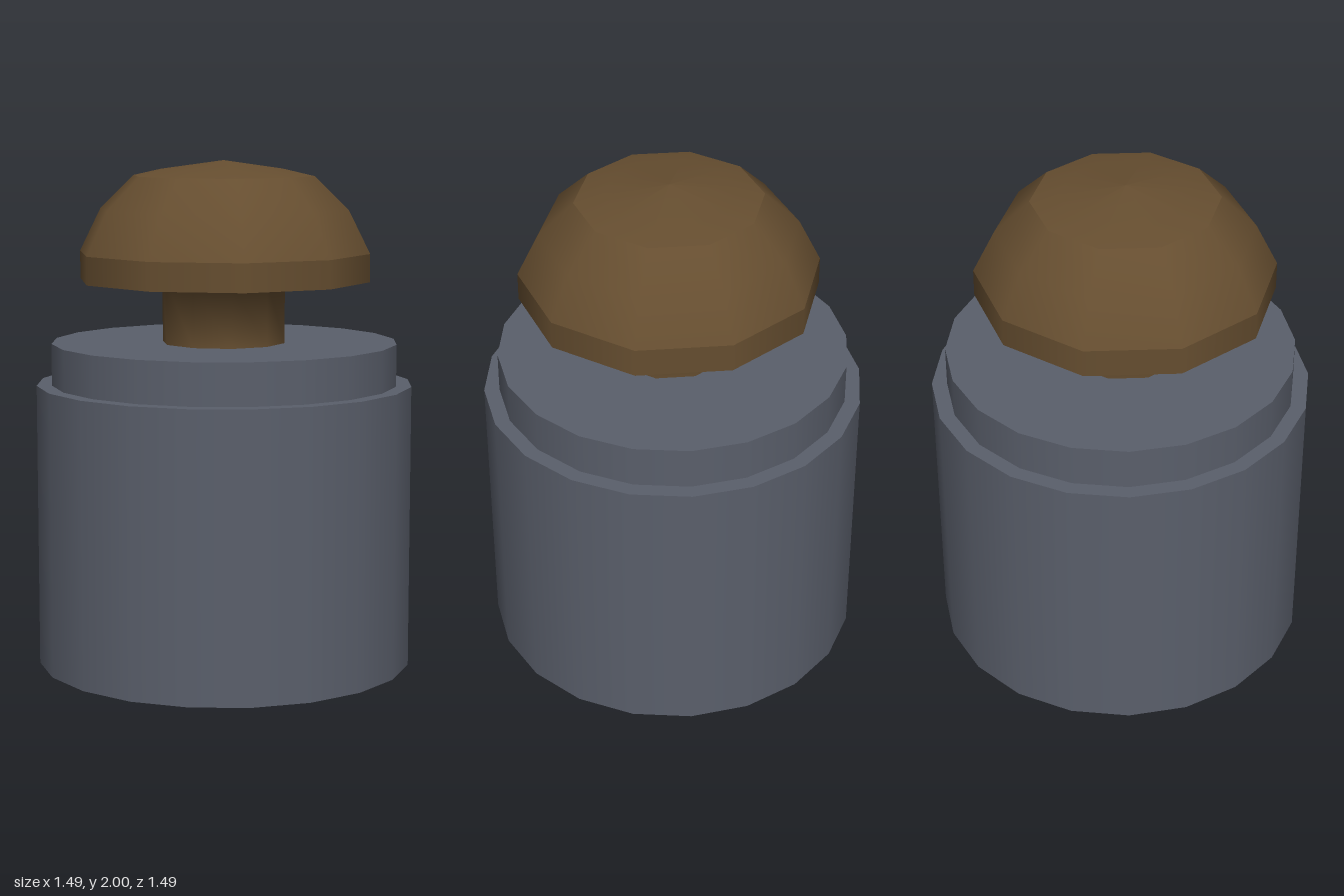
import * as THREE from 'three';

export function createModel() {
  const group = new THREE.Group();
  const grey = new THREE.MeshStandardMaterial({ color: 0x5a5f6b, side: THREE.DoubleSide });
  grey.name = 'slate grey';
  const brown = new THREE.MeshStandardMaterial({ color: 0x664e30, side: THREE.DoubleSide });
  brown.name = 'dark brown';

  // One smooth band of revolution; bands meet at sharp edges
  function turned(name, profile, sides, material, z = 0) {
    const points = profile.map(([r, y]) => new THREE.Vector2(r, y));
    const mesh = new THREE.Mesh(new THREE.LatheGeometry(points, sides, Math.PI / 2), material);
    mesh.name = name;
    mesh.position.z = z;
    group.add(mesh);
  }

  // Hollow base, open at the bottom, with a stepped collar
  turned('baseWall', [[0.745, 0], [0.745, 1.12]], 20, grey);
  turned('baseStep', [[0.745, 1.12], [0.685, 1.12]], 20, grey);
  turned('collarWall', [[0.685, 1.12], [0.685, 1.285]], 20, grey);
  turned('collarTop', [[0.685, 1.285], [0, 1.285]], 20, grey);

  // Ten-sided knob, set slightly forward
  const z = 0.02;
  turned('neckAndUnderside', [[0.245, 1.285], [0.245, 1.53], [0.58, 1.53]], 10, brown, z);
  turned('knobRim', [[0.58, 1.53], [0.58, 1.64]], 10, brown, z);
  turned('knobDome', [[0.58, 1.64], [0.495, 1.81], [0.36, 1.94]], 10, brown, z);
  turned('knobCap', [[0.36, 1.94], [0.25, 1.965], [0, 2]], 10, brown, z);

  return group;
}
